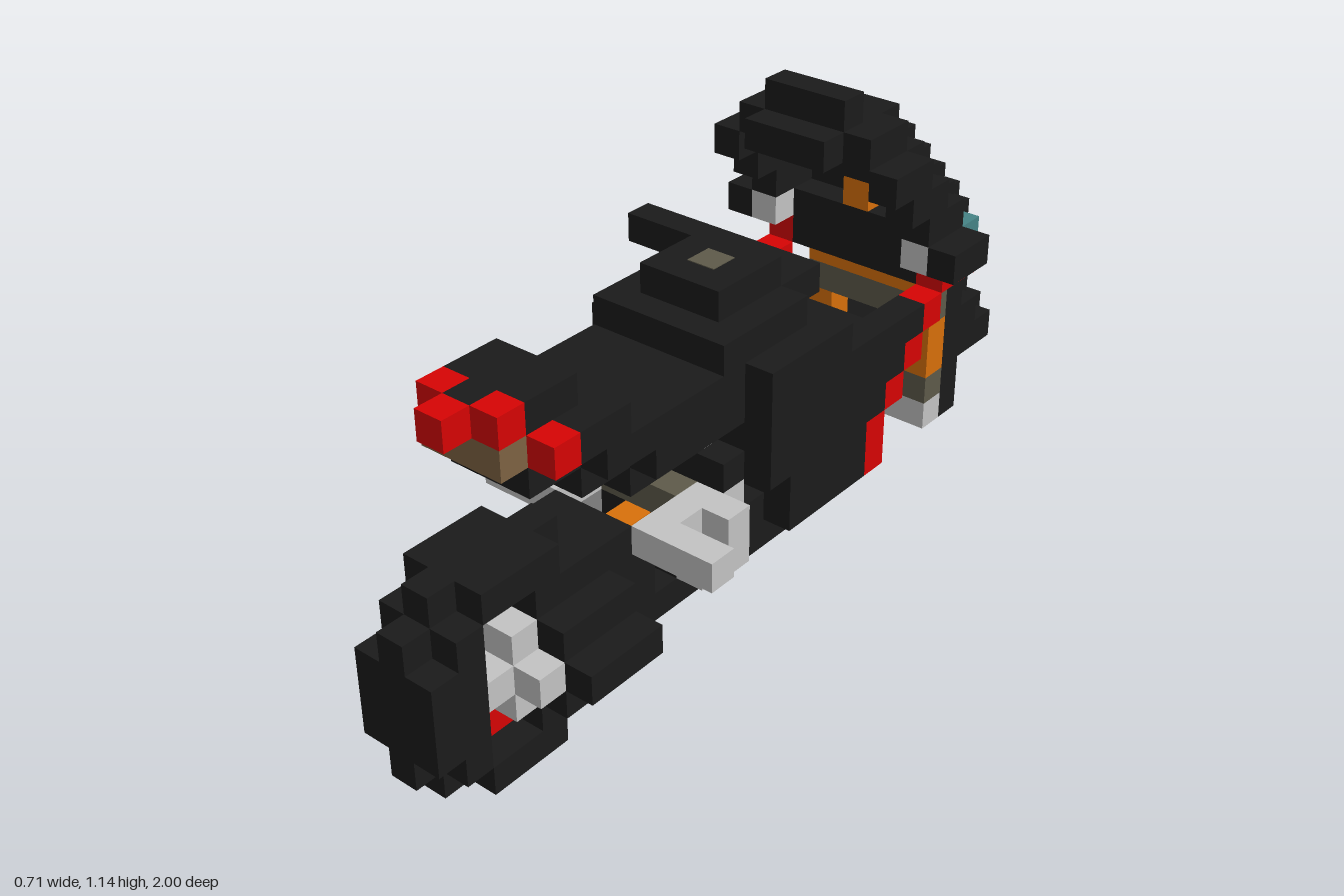
import * as THREE from 'three';

const V = 2 / 28; // cell size
const mat = (name, color) => Object.assign(new THREE.MeshStandardMaterial({ color }), { name });

export function createModel() {
  const black = mat('black', 0x1b1b1b), red = mat('red', 0xd60404), silver = mat('silver', 0xc3c3c3),
    orange = mat('orange', 0xd8700a), teal = mat('teal', 0x468486), olive = mat('olive', 0x5e5a4a),
    brown = mat('brown', 0x7e6242);
  const model = new THREE.Group();
  let part;
  const begin = (name) => {
    part = new THREE.Group();
    part.name = name;
    model.add(part);
  };
  // Block over inclusive cells: x about the centre line, rows up, columns from +z to -z
  const block = (m, x0, x1, r0, r1, c0, c1) => {
    const mesh = new THREE.Mesh(
      new THREE.BoxGeometry((x1 - x0 + 1) * V, (r1 - r0 + 1) * V, (c1 - c0 + 1) * V), m);
    mesh.position.set(((x0 + x1) / 2 + 0.5) * V, ((r0 + r1 + 1) / 2) * V, 1 - ((c0 + c1 + 1) / 2) * V);
    mesh.name = part.name + m.name[0].toUpperCase() + m.name.slice(1);
    part.add(mesh);
  };
  const wide = (m, w, ...rest) => block(m, -w, w, ...rest);
  const pair = (m, x0, x1, ...rest) => {
    block(m, x0, x1, ...rest);
    block(m, -x1, -x0, ...rest);
  };

  // Tyre: full ring in the middle, smaller stepped rings beside it
  begin('tyre');
  wide(black, 0, 0, 0, 1, 5);
  wide(black, 0, 1, 1, 0, 1);
  wide(black, 0, 1, 1, 4, 6);
  wide(black, 0, 2, 5, 0, 1);
  wide(black, 0, 6, 6, 1, 5);
  pair(black, 1, 1, 0, 0, 2, 4);
  pair(black, 1, 1, 1, 1, 1, 1);
  pair(black, 1, 1, 1, 1, 4, 5);
  pair(black, 1, 1, 2, 4, 0, 1);
  pair(black, 1, 1, 5, 5, 1, 1);
  pair(black, 1, 1, 6, 6, 2, 4);

  // Hub cross and rim accent
  begin('hub');
  wide(red, 0, 1, 1, 2, 3);
  wide(silver, 1, 2, 4, 3, 3);
  wide(silver, 1, 3, 3, 2, 2);
  pair(silver, 2, 2, 3, 3, 3, 3);

  // Swing arm with side bulges
  begin('swingArm');
  wide(black, 1, 2, 5, 4, 7);
  pair(black, 2, 2, 2, 4, 4, 6);
  pair(black, 3, 3, 3, 3, 4, 6);

  // Engine block with a recess either side of the spring
  begin('engine');
  wide(black, 1, 2, 2, 8, 11);
  wide(black, 1, 3, 4, 8, 8);
  wide(black, 1, 3, 4, 10, 10);
  wide(black, 1, 3, 3, 11, 11);
  block(black, 0, 0, 4, 4, 11, 11);
  wide(olive, 1, 5, 5, 10, 11);
  wide(orange, 0, 3, 4, 9, 9);

  // Foot pegs and brackets
  begin('footPeg');
  pair(silver, 2, 2, 5, 5, 8, 11);
  pair(silver, 1, 1, 5, 5, 12, 12);
  pair(silver, 3, 4, 5, 5, 8, 8);
  pair(silver, 3, 3, 4, 5, 10, 10);
  pair(silver, 2, 2, 3, 4, 10, 10);
  pair(silver, 1, 1, 4, 4, 11, 11);
  pair(silver, 1, 1, 7, 7, 11, 11);

  // Main fairing, narrowing towards the bottom
  begin('fairing');
  wide(black, 1, 2, 2, 12, 16);
  wide(black, 2, 3, 3, 12, 16);
  wide(black, 2, 4, 4, 12, 12);
  wide(black, 3, 4, 5, 13, 16);
  block(black, 0, 0, 5, 5, 12, 12);
  wide(black, 2, 6, 6, 11, 11);
  wide(black, 3, 6, 6, 12, 17);
  wide(black, 3, 7, 7, 12, 18);
  wide(black, 3, 8, 8, 12, 17);
  pair(black, 3, 3, 8, 8, 18, 19);
  wide(black, 1, 3, 3, 17, 17);
  wide(black, 2, 4, 5, 17, 17);

  // Red edge of the fairing
  begin('fairingTrim');
  wide(red, 1, 2, 2, 17, 17);
  pair(red, 2, 2, 3, 3, 17, 17);
  pair(red, 3, 3, 4, 5, 17, 17);
  for (let i = 0; i < 3; i++) pair(red, 3, 3, 6 + i, 6 + i, 18 + i, 18 + i);
  pair(red, 3, 3, 9, 9, 21, 22);
  pair(red, 2, 2, 9, 9, 23, 23);
  wide(red, 1, 9, 9, 24, 24);

  // Seat and raised tail
  begin('seat');
  wide(black, 1, 7, 7, 8, 10);
  block(black, 0, 0, 7, 7, 11, 11);
  wide(black, 1, 8, 8, 6, 7);
  wide(black, 2, 8, 8, 8, 11);
  wide(black, 1, 9, 9, 4, 5);
  wide(black, 2, 9, 9, 6, 11);
  wide(black, 2, 10, 10, 5, 6);
  wide(black, 1, 10, 10, 4, 4);
  wide(black, 1, 11, 11, 4, 5);
  block(black, 0, 0, 11, 11, 3, 3);

  // Tail lights
  begin('tailLight');
  wide(brown, 1, 10, 10, 3, 3);
  pair(red, 2, 2, 10, 10, 4, 4);
  pair(red, 1, 1, 11, 11, 3, 3);
  block(red, 0, 0, 11, 11, 2, 2);

  // Tank with filler cap and side lever
  begin('tank');
  wide(black, 3, 9, 9, 12, 15);
  wide(black, 2, 10, 10, 11, 14);
  wide(black, 1, 10, 10, 15, 16);
  wide(black, 1, 11, 11, 12, 14);
  begin('fillerCap');
  const cap = new THREE.Mesh(new THREE.BoxGeometry(V, 0.004, V), olive);
  cap.name = 'capPlate';
  cap.position.set(V / 2, 12 * V, 1 - 13.5 * V);
  part.add(cap);
  begin('lever');
  block(black, -5, -2, 10, 10, 16, 16);

  // Windscreen shell, rounded in plan and stepping back as it rises
  begin('windscreen');
  wide(black, 1, 10, 10, 24, 24);
  wide(black, 2, 10, 10, 23, 23);
  pair(black, 3, 3, 10, 10, 21, 21);
  for (let r = 11; r <= 13; r++) {
    const front = 34 - r;
    wide(black, 1, r, r, front, front);
    wide(black, 2, r, r, front - 1, front - 1);
    pair(black, 3, 3, r, r, front - 3, front - 2);
  }
  wide(black, 2, 14, 14, 18, 19);
  wide(black, 1, 14, 14, 17, 17);
  wide(black, 1, 14, 14, 20, 20);
  wide(black, 1, 15, 15, 18, 18);

  // Dashboard filling the nose, with a warning light
  begin('dashboard');
  wide(black, 2, 9, 9, 21, 22);
  wide(black, 1, 9, 9, 23, 23);
  wide(black, 2, 10, 10, 21, 22);
  block(orange, 0, 0, 11, 11, 21, 21);

  // Handlebar ends, mirrors and indicators
  begin('handlebar');
  pair(black, 4, 4, 10, 10, 20, 21);
  pair(silver, 3, 3, 10, 10, 20, 20);
  pair(teal, 3, 3, 10, 10, 22, 22);

  // Fork legs and yoke
  begin('fork');
  pair(silver, 1, 2, 3, 3, 22, 22);
  pair(olive, 2, 2, 4, 4, 22, 22);
  pair(orange, 2, 2, 5, 6, 22, 22);
  wide(olive, 2, 7, 7, 22, 22);
  wide(orange, 2, 8, 8, 22, 22);

  // Mudguard with pointed beak
  begin('mudguard');
  pair(black, 2, 2, 3, 6, 23, 23);
  wide(black, 2, 7, 7, 23, 23);
  wide(black, 1, 7, 7, 24, 24);
  wide(black, 2, 6, 6, 24, 24);
  wide(black, 1, 6, 6, 25, 25);
  pair(black, 2, 2, 5, 5, 24, 25);
  wide(black, 1, 5, 5, 25, 26);
  wide(black, 1, 4, 4, 26, 26);
  block(black, 0, 0, 3, 4, 27, 27);

  return model;
}
